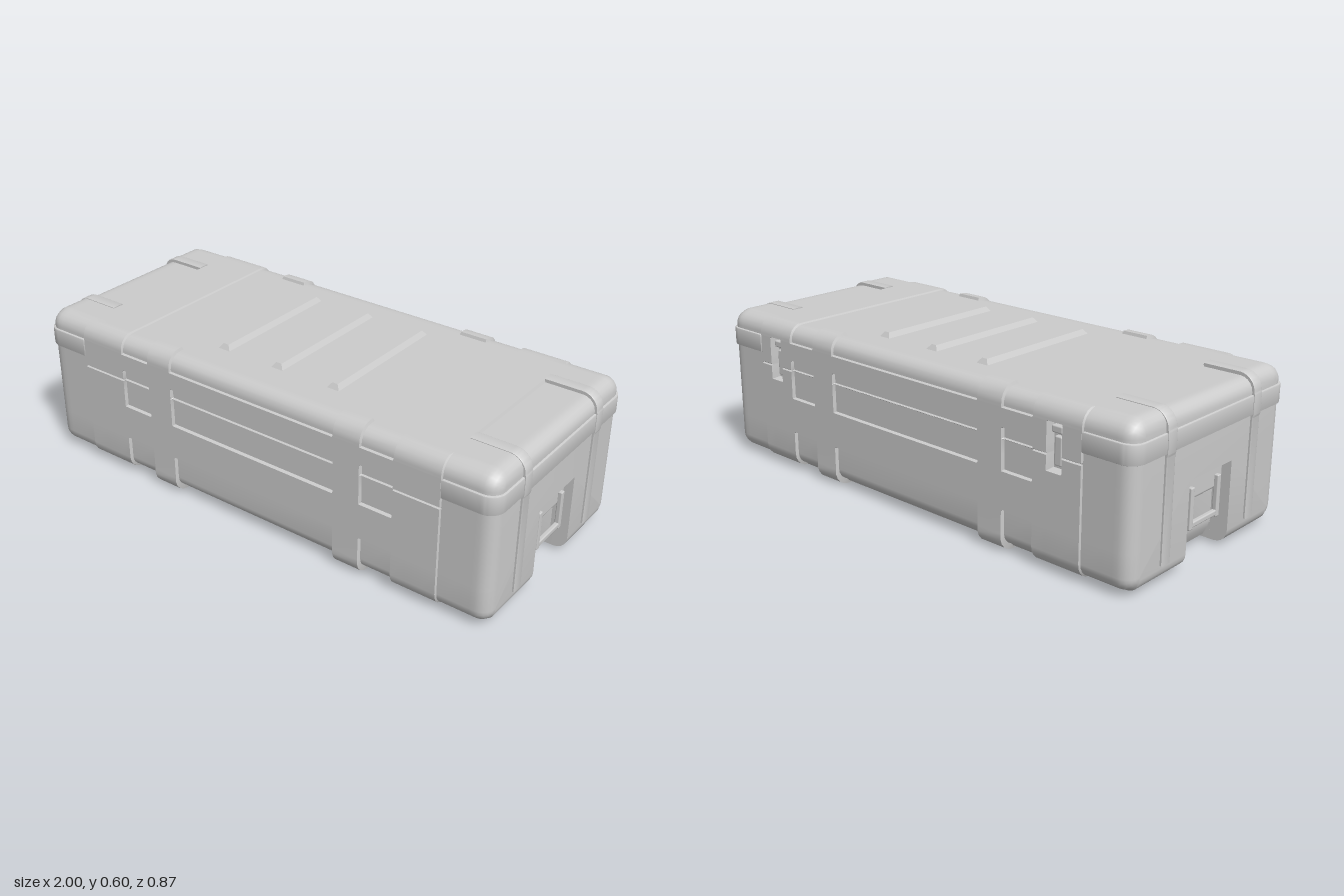
import * as THREE from 'three';
import { toCreasedNormals, mergeVertices } from 'three/addons/utils/BufferGeometryUtils.js';
import { RoundedBoxGeometry } from 'three/addons/geometries/RoundedBoxGeometry.js';

const mat = new THREE.MeshStandardMaterial({ color: 0xcccccc });
const HALF = 0.432, BOTTOM = 0.012, TOP = 0.59, R = 0.06, END = 0.988, ROUND = 0.05;
const E = 0.002; // half width of a step between raised and sunken areas
const MID = 0.01; // the centre panels sit slightly off centre

const within = (v, a, b) => v > a && v < b;

// How far the shell is raised or sunken at a point of its skin
function relief(x, y, z, ny, flatTop, flatBottom) {
  const u = Math.abs(x - MID), a = Math.abs(x);
  const rib = within(u, 0.365, 0.475);
  if (flatTop) {
    if (a > 0.795 && Math.abs(z) < 0.235) return -0.012;
    if (rib && Math.abs(z) > 0.355) return 0.003;
    return u < 0.605 ? -0.008 : -0.002;
  }
  if (rib) return ny < 0 ? -0.012 * ny : 0.003 * ny; // ribs wrap under the floor
  if (flatBottom) return 0;
  if (z < 0 && within(u, 0.665, 0.725) && within(y, 0.355, 0.52)) return -0.035; // latch slots
  if (Math.abs(y - 0.41) < 0.001) return -0.006; // lid seam
  if (u < 0.605) {
    if (y < 0.16 || within(y, 0.3, 0.45)) return -0.012; // sunken panels
    if (y > 0.52) return -0.008;
  }
  return a > 0.795 ? -0.006 : 0;
}

// Cut-out under each end handle: its ceiling height by x
function notchHeight(a) {
  if (a > 0.92) return 0.317;
  return BOTTOM + 0.07 * (Math.max(0, a - 0.88) / 0.04) ** 2;
}

// One cross-section ring in (z, y), shrunk by inset near the ends
function section(x, inset) {
  const w = HALF - inset, b = BOTTOM + inset, t = TOP - inset, r = R - inset;
  const half = []; // z, y, normal z, normal y, flat top, flat bottom, notch ceiling
  half.push([0.122, b, 0, -1, false, true, true], [0.1225, b, 0, -1, false, true]);
  for (let i = 0; i <= 5; i++) {
    const k = (i / 5) * Math.PI / 2;
    half.push([w - r + r * Math.sin(k), b + r - r * Math.cos(k), Math.sin(k), -Math.cos(k), false, i === 0]);
  }
  const steps = (list) => {
    for (const y of list) half.push([w, y - E, 1, 0], [w, y + E, 1, 0]);
  };
  steps([0.16, 0.3, 0.355]);
  half.push([w, 0.406, 1, 0], [w, 0.41, 1, 0], [w, 0.414, 1, 0]);
  steps([0.45, 0.52]);
  for (let i = 0; i <= 5; i++) {
    const k = (i / 5) * Math.PI / 2;
    half.push([w - r + r * Math.cos(k), t - r + r * Math.sin(k), Math.cos(k), Math.sin(k), i === 5]);
  }
  for (const z of [0.355, 0.235]) half.push([z + E, t, 0, 1, true], [z - E, t, 0, 1, true]);
  const place = (s) => ([z, y, nz, ny, top, bot, notch]) => {
    const h = relief(x, y, s * z, ny, top, bot);
    const py = y + ny * h;
    return [s * (z + nz * h), notch && Math.abs(x) > 0.88 ? Math.max(py, notchHeight(Math.abs(x))) : py];
  };
  return [...half.map(place(1)), ...half.map(place(-1)).reverse()];
}

// Stations along x: paired at every step, closing in on rounded ends
function stations() {
  const list = [];
  for (const s of [-1, 1]) {
    for (const u of [0.365, 0.475, 0.605, 0.665, 0.725]) {
      list.push([MID + s * u - E, 0], [MID + s * u + E, 0]);
    }
    list.push([s * 0.795 - E, 0], [s * 0.795 + E, 0]);
    for (const a of [0.88, 0.895, 0.91, 0.92, 0.9202]) list.push([s * a, 0]);
    for (let i = 0; i <= 5; i++) {
      const k = (i / 5) * Math.PI / 2;
      list.push([s * (END - ROUND + ROUND * Math.sin(k)), ROUND * (1 - Math.cos(k))]);
    }
  }
  return list.sort((p, q) => p[0] - q[0]);
}

function shellGeometry() {
  const st = stations(), rings = st.map(([x, inset]) => section(x, inset));
  const n = rings[0].length, last = st.length - 1, idx = [];
  const pos = rings.flatMap((ring, i) => ring.flatMap(([z, y]) => [st[i][0], y, z]));
  for (let i = 0; i < last; i++) {
    for (let j = 0; j < n; j++) {
      const a = i * n + j, b = i * n + (j + 1) % n;
      idx.push(a, a + n, b + n, a, b + n, b);
    }
  }
  // Flat end walls, turned outwards
  for (const [i, s] of [[0, -1], [last, 1]]) {
    const pts = rings[i].map(([z, y]) => new THREE.Vector2(z, y));
    for (const [a, b, c] of THREE.ShapeUtils.triangulateShape(pts, [])) {
      const turn = THREE.ShapeUtils.area([pts[a], pts[b], pts[c]]) * s > 0;
      idx.push(i * n + a, i * n + (turn ? c : b), i * n + (turn ? b : c));
    }
  }
  const g = new THREE.BufferGeometry();
  g.setAttribute('position', new THREE.Float32BufferAttribute(pos, 3));
  g.setIndex(idx);
  return toCreasedNormals(mergeVertices(g, 1e-5), 0.5);
}

function add(parent, name, geometry, x = 0, y = 0, z = 0) {
  const m = new THREE.Mesh(geometry, mat);
  m.name = name;
  m.position.set(x, y, z);
  parent.add(m);
}

// U-shaped lip of the lid around one end
function bandGeometry() {
  const w = 0.431, r = 0.055, x1 = 0.992;
  const p = new THREE.Shape();
  p.moveTo(0.8, -w);
  p.lineTo(x1 - r, -w);
  p.absarc(x1 - r, -w + r, r, -Math.PI / 2, 0);
  p.absarc(x1 - r, w - r, r, 0, Math.PI / 2);
  p.lineTo(0.8, w);
  const g = new THREE.ExtrudeGeometry(p, {
    depth: 0.06, bevelThickness: 0.005, bevelSize: 0.004, bevelSegments: 2, curveSegments: 6,
  });
  return toCreasedNormals(g.rotateX(-Math.PI / 2), 0.5);
}

// Strap running down the end and over the lid edge
function strapGeometry() {
  const p = new THREE.Shape();
  p.moveTo(0.95, 0.074);
  p.lineTo(0.994, 0.074);
  p.lineTo(0.994, 0.44);
  p.lineTo(0.998, 0.45);
  p.lineTo(0.998, 0.522);
  p.absarc(0.934, 0.528, 0.062, 0, Math.PI / 2);
  p.lineTo(0.795, 0.59);
  p.lineTo(0.795, 0.56);
  p.lineTo(0.95, 0.5);
  const g = new THREE.ExtrudeGeometry(p, {
    depth: 0.038, bevelThickness: 0.004, bevelSize: 0.002, bevelSegments: 1, curveSegments: 6,
  });
  return toCreasedNormals(g.translate(0, 0, -0.019), 0.5);
}

// Ridge with sloping sides and ends
function ridgeGeometry() {
  const g = new THREE.BoxGeometry(0.056, 0.022, 0.55);
  const p = g.attributes.position;
  for (let i = 0; i < p.count; i++) {
    if (p.getY(i) > 0) p.setXYZ(i, p.getX(i) * 0.4, p.getY(i), p.getZ(i) - Math.sign(p.getZ(i)) * 0.015);
  }
  g.computeVertexNormals();
  return g;
}

export function createModel() {
  const group = new THREE.Group();
  add(group, 'caseShell', shellGeometry());

  const band = bandGeometry(), strap = strapGeometry(), ridge = ridgeGeometry();
  for (const s of [1, -1]) {
    const side = s > 0 ? 'left' : 'right';

    // Lid lip, straps and drop handle of this end
    const end = new THREE.Group();
    end.name = side + 'EndFittings';
    end.rotation.y = s > 0 ? 0 : Math.PI;
    add(end, 'lidBand', band, 0, 0.455, 0);
    for (const z of [0.245, -0.245]) add(end, 'endStrap', strap, 0, 0, z);
    add(end, 'handlePlate', new RoundedBoxGeometry(0.05, 0.09, 0.236, 2, 0.012), 0.935, 0.268, 0);
    for (const z of [0.077, -0.077]) {
      add(end, 'handleArm', new RoundedBoxGeometry(0.018, 0.15, 0.02, 2, 0.004), 0.966, 0.201, z);
    }
    add(end, 'handleGrip', new RoundedBoxGeometry(0.018, 0.02, 0.14, 2, 0.005), 0.966, 0.142, 0);
    group.add(end);

    // Latch set into the back
    const latch = new THREE.Group();
    latch.name = side + 'Latch';
    latch.position.set(MID + s * 0.695, 0, 0);
    add(latch, 'latchLever', new RoundedBoxGeometry(0.03, 0.1, 0.025, 2, 0.005), 0, 0.42, -0.4);
    add(latch, 'latchHook', new RoundedBoxGeometry(0.044, 0.025, 0.03, 2, 0.005), 0, 0.495, -0.405);
    group.add(latch);
  }

  // Ridges across the lid
  for (const i of [-1, 0, 1]) add(group, 'lidRidge', ridge, 0.008 + i * 0.244, 0.589, -0.007);
  return group;
}
